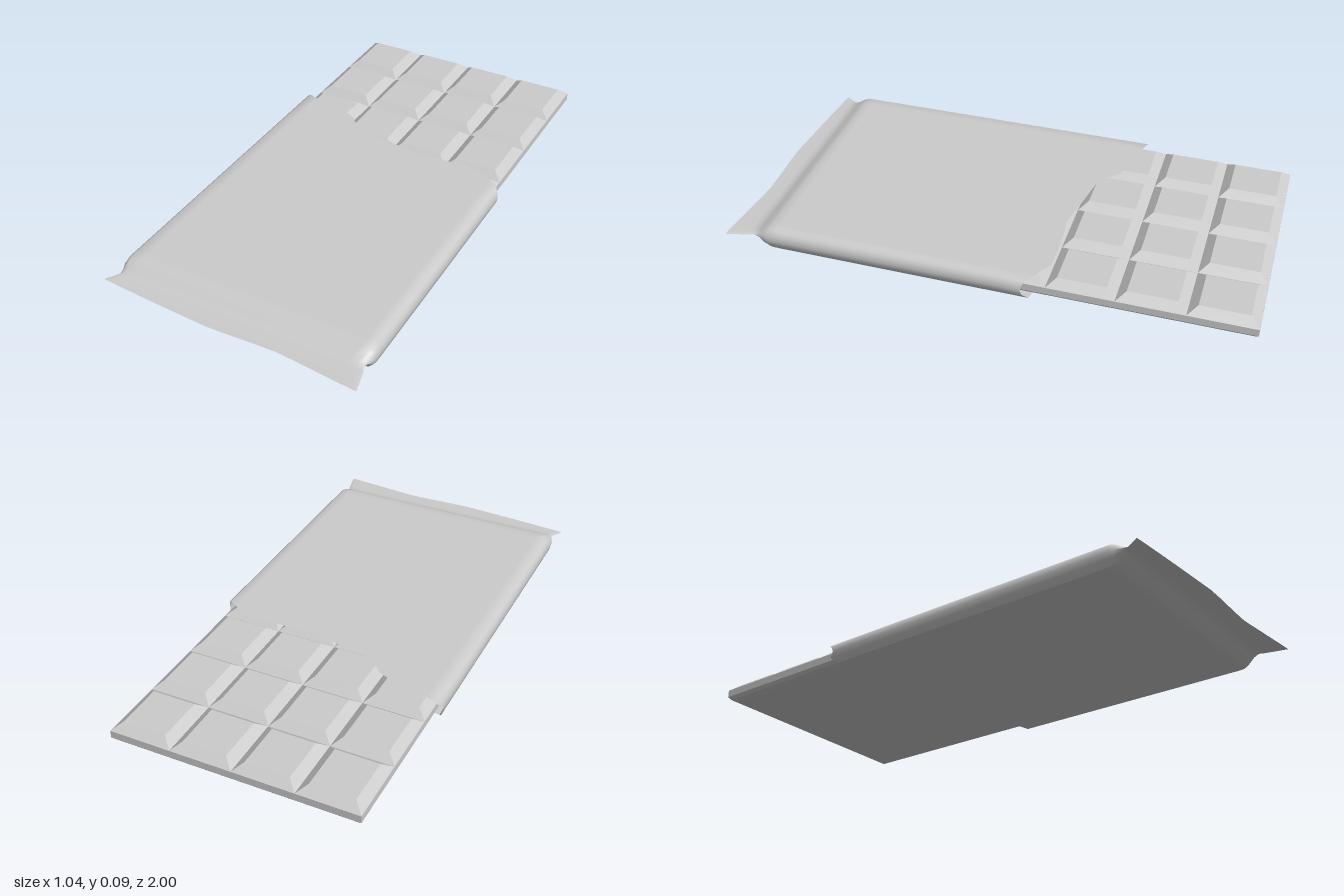
import * as THREE from 'three';
import { toCreasedNormals } from 'three/addons/utils/BufferGeometryUtils.js';

const lerp = THREE.MathUtils.lerp;

// Linear interpolation along a list of [x, value] points
function along(points, x) {
  if (x <= points[0][0]) return points[0][1];
  for (let i = 1; i < points.length; i++) {
    const [x0, v0] = points[i - 1], [x1, v1] = points[i];
    if (x <= x1) return lerp(v0, v1, (x - x0) / (x1 - x0));
  }
  return points[points.length - 1][1];
}

// Box whose top and bottom faces are pulled in to make sloping sides
function taperedBox(w, h, d, topInset, bottomInset) {
  const geo = new THREE.BoxGeometry(w, h, d);
  const p = geo.attributes.position;
  for (let i = 0; i < p.count; i++) {
    const inset = p.getY(i) > 0 ? topInset : bottomInset;
    p.setX(i, p.getX(i) - Math.sign(p.getX(i)) * inset);
    p.setZ(i, p.getZ(i) - Math.sign(p.getZ(i)) * inset);
  }
  geo.computeVertexNormals();
  return geo;
}

// Torn front line of the wrapper's upper sheet: [x, z]
const TEAR = [
  [-0.5, -0.385], [-0.49, -0.415], [-0.44, -0.41], [-0.435, -0.4], [-0.27, -0.36],
  [-0.235, -0.35], [-0.2, -0.31], [-0.14, -0.275], [0, -0.25], [0.12, -0.225],
  [0.2, -0.235], [0.38, -0.242], [0.45, -0.2], [0.48, -0.19], [0.51, -0.155],
];
// Wavy end of the sealed fin: [x, z]
const FIN_END = [[-0.52, 0.945], [-0.3, 0.962], [-0.05, 0.978], [0.2, 0.967], [0.515, 0.998]];

function wrapperGeometry() {
  // Closed ring: x, y and which sheet sets the torn edge
  const side = [[0.492, 0.078], [0.501, 0.064], [0.505, 0.045], [0.5, 0.022]];
  const xs = [-0.48, -0.44, -0.435, -0.35, -0.27, -0.235, -0.2, -0.14, -0.07, 0, 0.12,
    0.2, 0.3, 0.38, 0.45, 0.48];
  const ring = [
    ...xs.map((x) => [x, 0.086, 1]),
    ...side.map(([x, y]) => [x, y, 1]),
    ...xs.slice().reverse().map((x) => [x * 1.01, 0, 0]),
    ...side.slice().reverse().map(([x, y]) => [-x, y, 1]),
  ];
  // Stations along the length: z, width scale, thickness scale
  const stations = [
    [null, 1, 1], [-0.08, 1, 1], [0.3, 1, 1], [0.8, 1, 1], [0.83, 1, 0.98],
    [0.85, 0.995, 0.78], [0.875, 0.975, 0.38], [0.895, 0.965, 0.12], [0.915, 0.985, 0.06], ['end', 1.025, 0.04],
  ];
  const positions = [], index = [];
  const n = ring.length;
  stations.forEach(([z, ws, ts], j) => {
    ring.forEach(([x, y, upper]) => {
      const px = x * ws + 0.005;
      let pz = z;
      if (z === null) pz = upper ? along(TEAR, px) : lerp(-0.38, -0.18, px + 0.5);
      if (z === 'end') pz = along(FIN_END, px);
      positions.push(px, 0.049 + (y - 0.049) * ts, pz);
    });
    if (j === 0) return;
    for (let i = 0; i < n; i++) {
      const k = (i + 1) % n;
      const a = (j - 1) * n + i, b = (j - 1) * n + k, c = j * n + i, d = j * n + k;
      index.push(a, c, b, b, c, d);
    }
  });
  const geo = new THREE.BufferGeometry();
  geo.setAttribute('position', new THREE.Float32BufferAttribute(positions, 3));
  geo.setIndex(index);
  return toCreasedNormals(geo, 0.8);
}

export function createModel() {
  const model = new THREE.Group();
  const material = new THREE.MeshStandardMaterial({ color: 0xcccccc });
  const wrapMaterial = new THREE.MeshStandardMaterial({ color: 0xcccccc, side: THREE.DoubleSide });
  const add = (geo, name, mat, parent, x = 0, y = 0, z = 0) => {
    const mesh = new THREE.Mesh(geo, mat);
    mesh.name = name;
    mesh.position.set(x, y, z);
    parent.add(mesh);
  };

  // Chocolate bar: slab with rounded underside and a grid of bevelled squares
  const bar = new THREE.Group();
  bar.name = 'chocolateBar';
  model.add(bar);
  const cols = 4, rows = 7, cw = 0.238, cd = 0.2535;
  const w = cols * cw, d = rows * cd, cx = 0.005, cz = -1 + d / 2;
  add(new THREE.BoxGeometry(w, 0.029, d), 'barSlab', material, bar, cx, 0.0405, cz);
  add(taperedBox(w, 0.012, d, 0, 0.01), 'barLowerEdge', material, bar, cx, 0.02, cz);
  add(taperedBox(w - 0.02, 0.008, d - 0.02, 0, 0.022), 'barUnderside', material, bar, cx, 0.01, cz);

  const square = taperedBox(cw, 0.028, cd, 0.035, 0);
  for (let r = 0; r < rows; r++) {
    for (let c = 0; c < cols; c++) {
      add(square, 'chocolateSquare', material, bar,
        cx + (c - (cols - 1) / 2) * cw, 0.069, -1 + (r + 0.5) * cd);
    }
  }

  // Torn wrapper sleeve with a flat sealed fin
  add(wrapperGeometry(), 'wrapper', wrapMaterial, model);
  return model;
}
